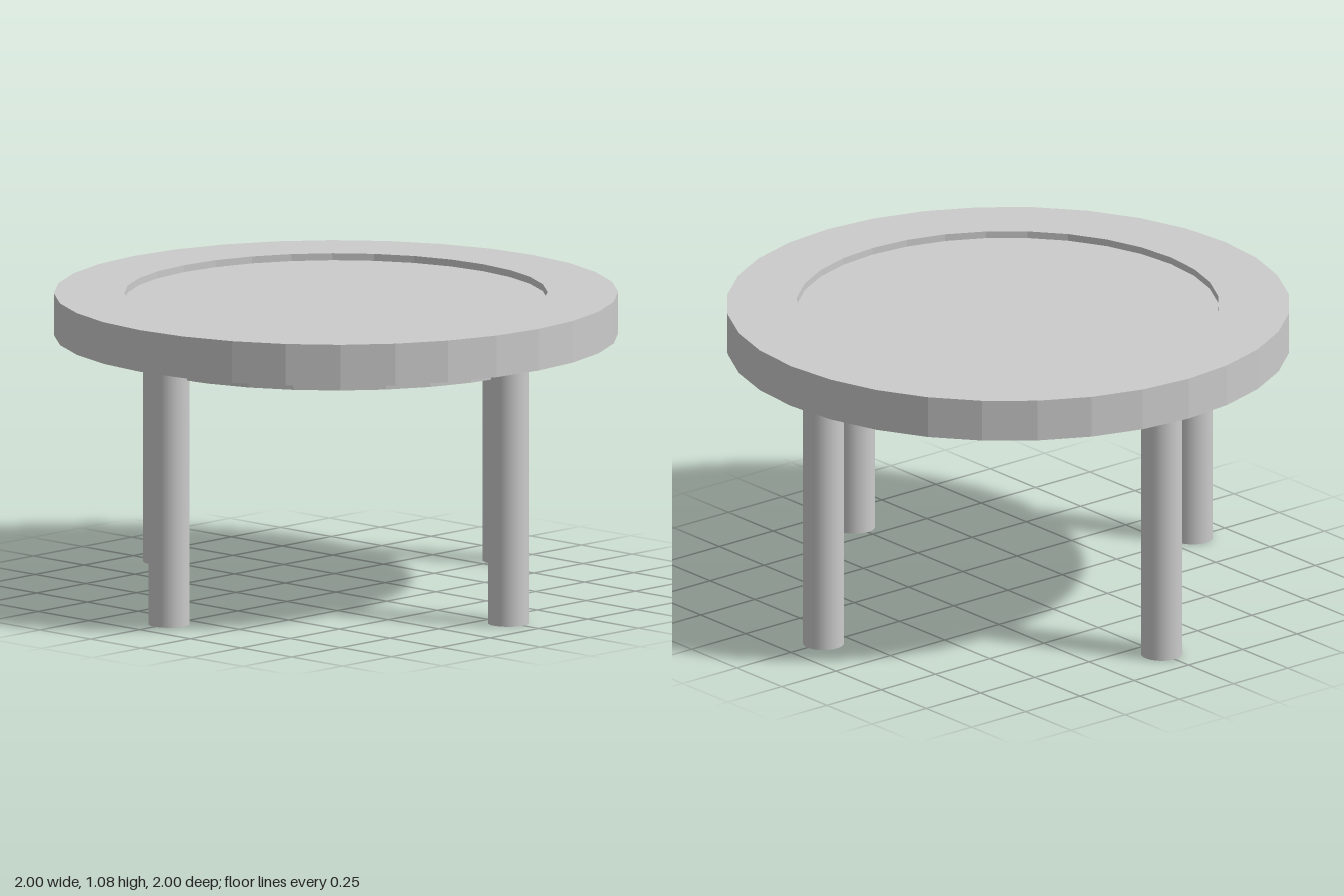
import * as THREE from 'three';

const SIDES = 32;
const flatMat = new THREE.MeshStandardMaterial({ color: 0xcccccc, flatShading: true });
const smoothMat = new THREE.MeshStandardMaterial({ color: 0xcccccc });

// Upright cylinder spanning y0..y1
function disc(name, radius, y0, y1, material) {
  const mesh = new THREE.Mesh(new THREE.CylinderGeometry(radius, radius, y1 - y0, SIDES), material);
  mesh.position.y = (y0 + y1) / 2;
  mesh.name = name;
  return mesh;
}

export function createModel() {
  const table = new THREE.Group();
  table.name = 'roundTable';

  // Thick faceted ring framing the top
  const profile = [[0.75, 0.93], [1, 0.93], [1, 1.08], [0.75, 1.08], [0.75, 0.93]]
    .map(([r, y]) => new THREE.Vector2(r, y));
  const ring = new THREE.Mesh(new THREE.LatheGeometry(profile, SIDES), flatMat);
  ring.name = 'topRing';
  table.add(ring);

  // Panel set slightly below the ring's upper face
  table.add(disc('insetPanel', 0.75, 1.02, 1.055, flatMat));

  // Thin disc held between the legs, just under the ring
  table.add(disc('lowerDisc', 0.84, 0.885, 0.915, flatMat));

  // Four round legs on the axes
  for (let i = 0; i < 4; i++) {
    const angle = (i * Math.PI) / 2;
    const leg = disc('leg', 0.073, 0, 0.935, smoothMat);
    leg.position.x = Math.cos(angle) * 0.85;
    leg.position.z = Math.sin(angle) * 0.85;
    table.add(leg);
  }
  return table;
}
